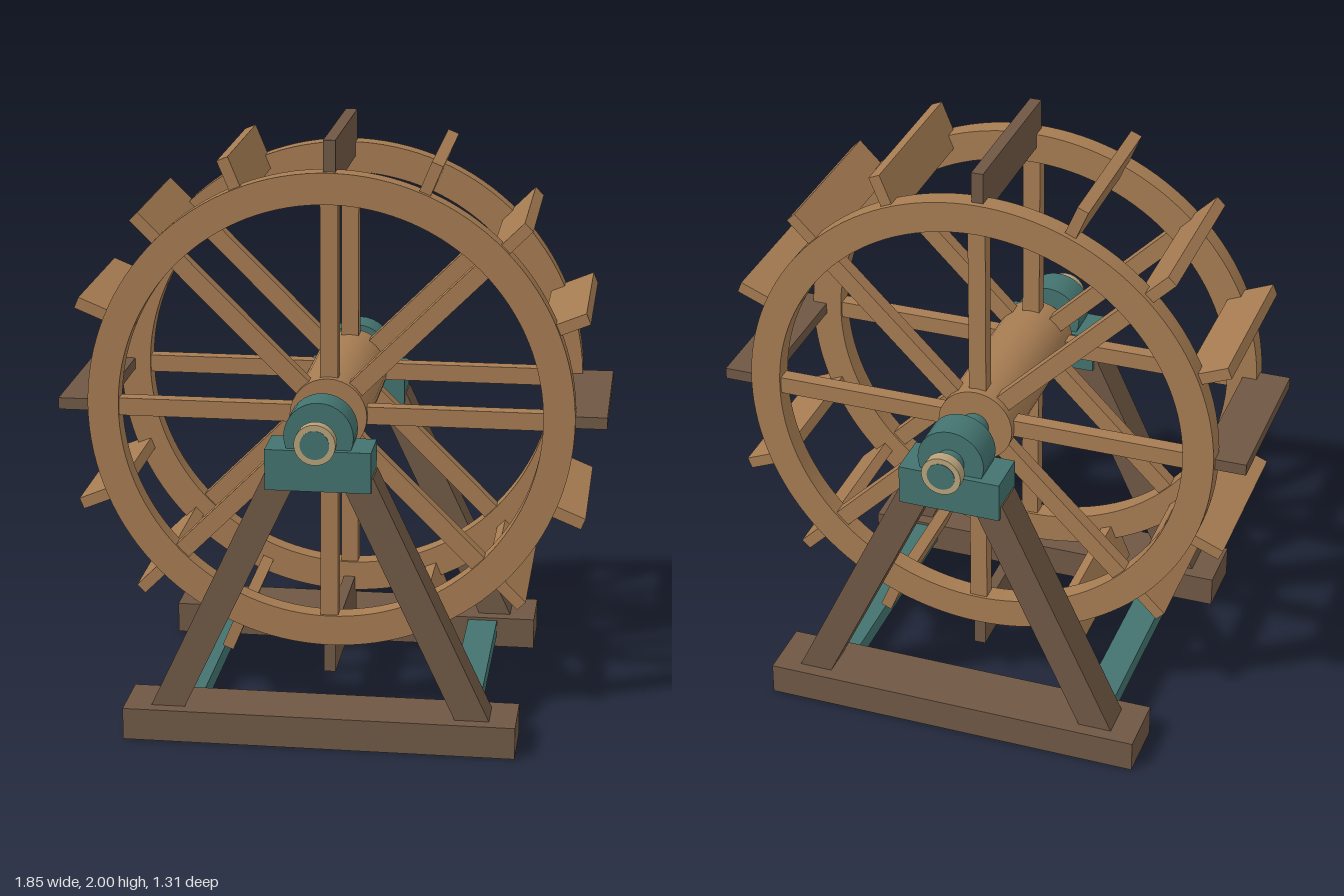
import * as THREE from 'three';
import { toCreasedNormals } from 'three/addons/utils/BufferGeometryUtils.js';

const AXLE_Y = 1.075;
const mat = (color) => new THREE.MeshStandardMaterial({ color });

export function createModel() {
  const model = new THREE.Group();
  model.name = 'waterWheel';
  const wood = mat(0xa67c52), darkWood = mat(0x6f5844), iron = mat(0x43736f), brass = mat(0xb8a27a);

  const add = (parent, name, geometry, material, x = 0, y = 0, z = 0) => {
    const mesh = new THREE.Mesh(geometry, material);
    mesh.name = name;
    mesh.position.set(x, y, z);
    parent.add(mesh);
    return mesh;
  };
  const box = (w, h, d) => new THREE.BoxGeometry(w, h, d);
  // cylinder lying along z
  const rod = (r, length) => new THREE.CylinderGeometry(r, r, length, 32).rotateX(Math.PI / 2);

  // Wheel, centred on the axle
  const wheel = new THREE.Group();
  wheel.name = 'wheel';
  wheel.position.y = AXLE_Y;
  model.add(wheel);

  const ring = new THREE.Shape().absarc(0, 0, 0.82, 0, Math.PI * 2, false);
  ring.holes.push(new THREE.Path().absarc(0, 0, 0.715, 0, Math.PI * 2, true));
  const rimGeometry = toCreasedNormals(
    new THREE.ExtrudeGeometry(ring, { depth: 0.07, bevelEnabled: false, curveSegments: 64 }).translate(0, 0, -0.035),
    0.6
  );
  const spokeGeometry = box(0.68, 0.06, 0.05).translate(0.41, 0, 0);
  for (const side of [-1, 1]) {
    add(wheel, 'rim', rimGeometry, wood, 0, 0, side * 0.275);
    for (let i = 0; i < 8; i++) {
      add(wheel, 'spoke', spokeGeometry, wood, 0, 0, side * 0.275).rotation.z = (i * Math.PI) / 4;
    }
  }

  // Paddles, every fourth one in dark wood
  const paddleGeometry = box(0.155, 0.04, 0.58).translate(0.8475, 0, 0);
  for (let i = 0; i < 16; i++) {
    add(wheel, 'paddle', paddleGeometry, i % 4 ? wood : darkWood).rotation.z = (i * Math.PI) / 8;
  }

  // Hub and axle
  add(wheel, 'hub', rod(0.13, 0.65), wood);
  add(wheel, 'axle', rod(0.048, 1.31), iron);

  // Supports on each side
  const legFoot = new THREE.Vector2(0.536, 0.06);
  const legTop = new THREE.Vector2(0.133, 0.92);
  const legLength = legFoot.distanceTo(legTop);
  const legAngle = Math.atan2(legFoot.x - legTop.x, legTop.y - legFoot.y);
  for (const side of [-1, 1]) {
    const support = new THREE.Group();
    support.name = side > 0 ? 'frontSupport' : 'backSupport';
    support.position.z = side * 0.503;
    model.add(support);

    add(support, 'baseBeam', box(1.32, 0.11, 0.215), darkWood, 0, 0.055, 0);
    for (const s of [-1, 1]) {
      const leg = add(support, 'leg', box(0.104, legLength, 0.126), darkWood,
        (s * (legFoot.x + legTop.x)) / 2, (legFoot.y + legTop.y) / 2, 0);
      leg.rotation.z = s * legAngle;
    }
    add(support, 'bearingBlock', box(0.35, 0.138, 0.16), iron, 0, 0.964, 0);
    add(support, 'bearingHousing', rod(0.115, 0.118), iron, 0, AXLE_Y, 0);
    add(support, 'axleCollar', rod(0.068, 0.04), brass, 0, AXLE_Y, side * 0.13);
  }

  // Cross ties between the base beams
  for (const s of [-1, 1]) {
    add(model, 'crossTie', box(0.105, 0.06, 0.9), iron, s * 0.472, 0.07, 0);
  }
  return model;
}
